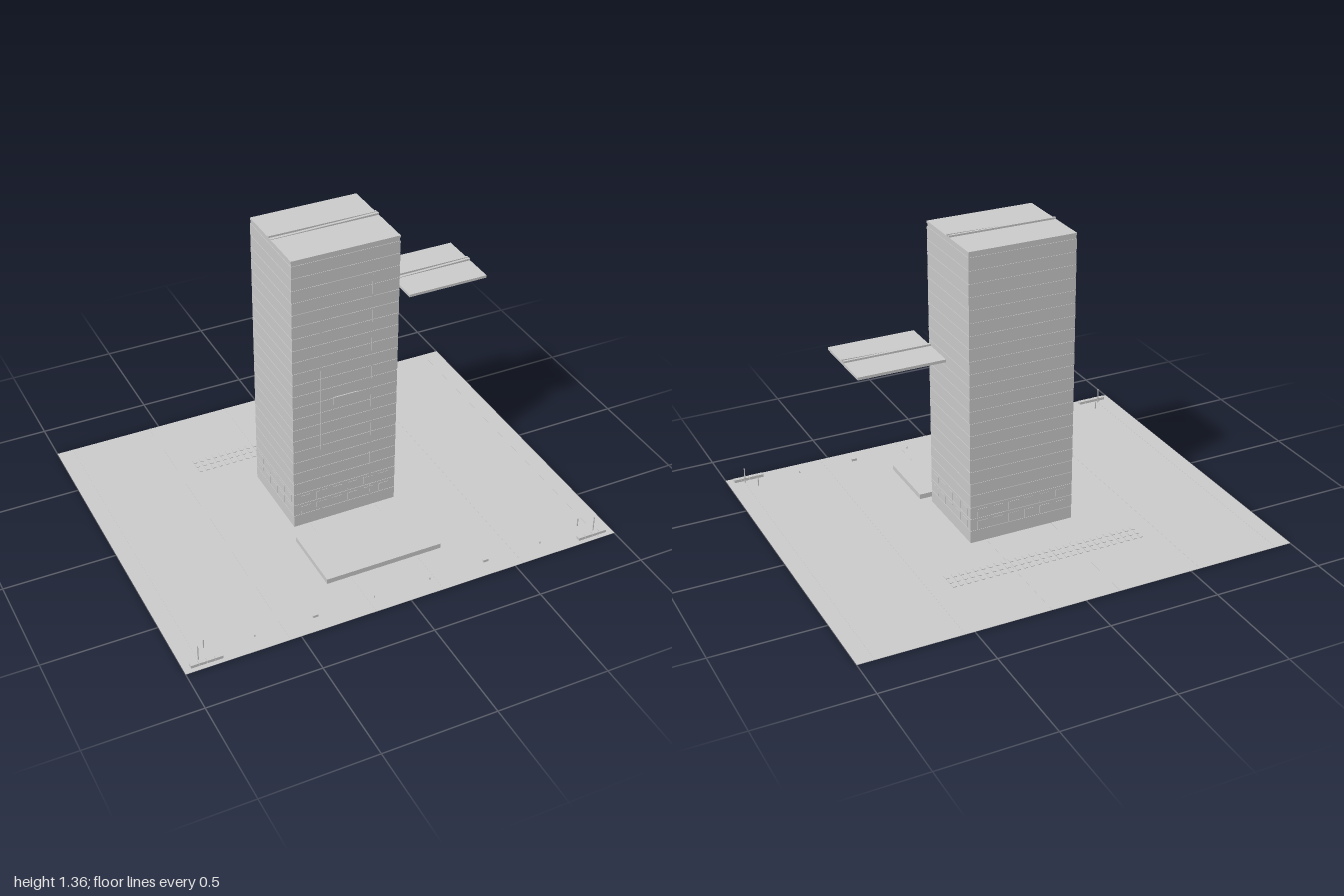
import * as THREE from 'three';

const concrete = new THREE.MeshStandardMaterial({ color: 0xcccccc });
concrete.name = 'pale concrete';

// Box given by its limits on each axis
function block(parent, name, x0, x1, y0, y1, z0, z1) {
  const mesh = new THREE.Mesh(new THREE.BoxGeometry(x1 - x0, y1 - y0, z1 - z0), concrete);
  mesh.position.set((x0 + x1) / 2, (y0 + y1) / 2, (z0 + z1) / 2);
  mesh.name = name;
  parent.add(mesh);
  return mesh;
}

function group(parent, name) {
  const g = new THREE.Group();
  g.name = name;
  parent.add(g);
  return g;
}

// Flat roof with a raised joint and a wedge that grows towards +x
function roofJoint(parent, x0, x1, y, z) {
  block(parent, 'roofJointRail', x0, x1, y, y + 0.008, z - 0.016, z - 0.006);
  const wedge = new THREE.Shape();
  wedge.moveTo(x0, 0);
  wedge.lineTo(x1, 0);
  wedge.lineTo(x1, 0.009);
  wedge.lineTo(x0, 0.002);
  const mesh = new THREE.Mesh(
    new THREE.ExtrudeGeometry(wedge, { depth: 0.012, bevelEnabled: false }), concrete);
  mesh.position.set(0, y, z);
  mesh.name = 'roofJointWedge';
  parent.add(mesh);
}

export function createModel() {
  const model = new THREE.Group();
  model.name = 'officeTower';

  // Ground and its long paving seams
  const plaza = group(model, 'plaza');
  block(plaza, 'ground', -1, 1, 0, 0.002, -0.8, 0.8);
  for (const x of [-0.925, -0.545, -0.16, 0.155, 0.54, 0.925]) {
    block(plaza, 'pavingSeam', x - 0.002, x + 0.002, 0.002, 0.003, -0.8, 0.8);
  }
  block(plaza, 'entranceSlab', -0.27, 0.27, 0.002, 0.025, 0.25, 0.56);

  // Tower: core with a stack of storeys separated by fine joints
  const tower = group(model, 'tower');
  const X0 = -0.245, X1 = 0.242, Z0 = -0.22, Z1 = 0.18;
  const pitch = 0.0567, firstJoint = 0.079, gap = 0.0015;
  block(tower, 'core', X0 + 0.002, X1 - 0.002, 0.02, 1.345, Z0 + 0.002, Z1 - 0.002);
  block(tower, 'baseStorey', X0, X1, 0.02, firstJoint - gap, Z0, Z1);
  for (let i = 0; i < 22; i++) {
    const y = firstJoint + i * pitch;
    block(tower, 'storey', X0, X1, y + gap, Math.min(y + pitch - gap, 1.338), Z0, Z1);
  }
  block(tower, 'roofSlab', X0, X1, 1.34, 1.35, Z0, Z1);
  roofJoint(tower, X0, X1, 1.35, -0.024);

  // Front facade trim and the plain panel above the entrance
  for (const x of [-0.115, 0.12]) {
    block(tower, 'facadeStrip', x - 0.002, x + 0.002, 0.06, 1.2, Z1, Z1 + 0.002);
  }
  block(tower, 'facadePanel', -0.06, 0.055, 0.613, 0.65, Z1, Z1 + 0.005);

  // Two rows of windows round the base
  const windows = group(tower, 'baseWindows');
  const t = 0.0015;
  for (const y of [0.083, 0.14]) {
    for (let i = 0; i < 6; i++) {
      const x = -0.188 + i * 0.075;
      block(windows, 'frontWindow', x - 0.024, x + 0.024, y, y + 0.038, Z1, Z1 + t);
      block(windows, 'backWindow', x - 0.024, x + 0.024, y, y + 0.038, Z0 - t, Z0);
    }
    for (let i = 0; i < 5; i++) {
      const z = -0.17 + i * 0.075;
      block(windows, 'leftWindow', X1, X1 + t, y, y + 0.038, z - 0.024, z + 0.024);
      block(windows, 'rightWindow', X0 - t, X0, y, y + 0.038, z - 0.024, z + 0.024);
    }
  }

  // Separate raised roof platform beside the tower
  const platform = group(model, 'raisedPlatform');
  block(platform, 'platformSlab', 0.38, 0.757, 0.935, 0.947, -0.298, 0.02);
  roofJoint(platform, 0.38, 0.757, 0.947, -0.136);

  // Rows of low paving frames behind the tower
  const frames = group(model, 'pavingFrames');
  for (let i = 0; i < 28; i++) {
    const x = -0.452 + i * 0.0329;
    for (const z of [-0.465, -0.432, -0.395]) {
      block(frames, 'pavingFrame', x - 0.008, x + 0.008, 0.002, 0.005, z - 0.012, z + 0.012);
    }
  }

  // Corner planters, posts and small benches along the front edge
  for (const s of [-1, 1]) {
    const corner = group(model, s > 0 ? 'leftFrontage' : 'rightFrontage');
    for (let i = 0; i < 4; i++) {
      const x = s * (0.848 + i * 0.035);
      block(corner, 'planter', x - 0.0165, x + 0.0165, 0.002, 0.015, 0.76, 0.78);
    }
    block(corner, 'tallPost', s * 0.925 - 0.002, s * 0.925 + 0.002, 0.002, 0.075, 0.743, 0.747);
    block(corner, 'shortPost', s * 0.88 - 0.002, s * 0.88 + 0.002, 0.002, 0.043, 0.688, 0.692);
    block(corner, 'bench', s * 0.4 - 0.012, s * 0.4 + 0.012, 0.002, 0.013, 0.715, 0.725);
    for (const x of [0.13, 0.67]) {
      block(corner, 'bollard', s * x - 0.002, s * x + 0.002, 0.002, 0.012, 0.718, 0.722);
    }
  }
  return model;
}
